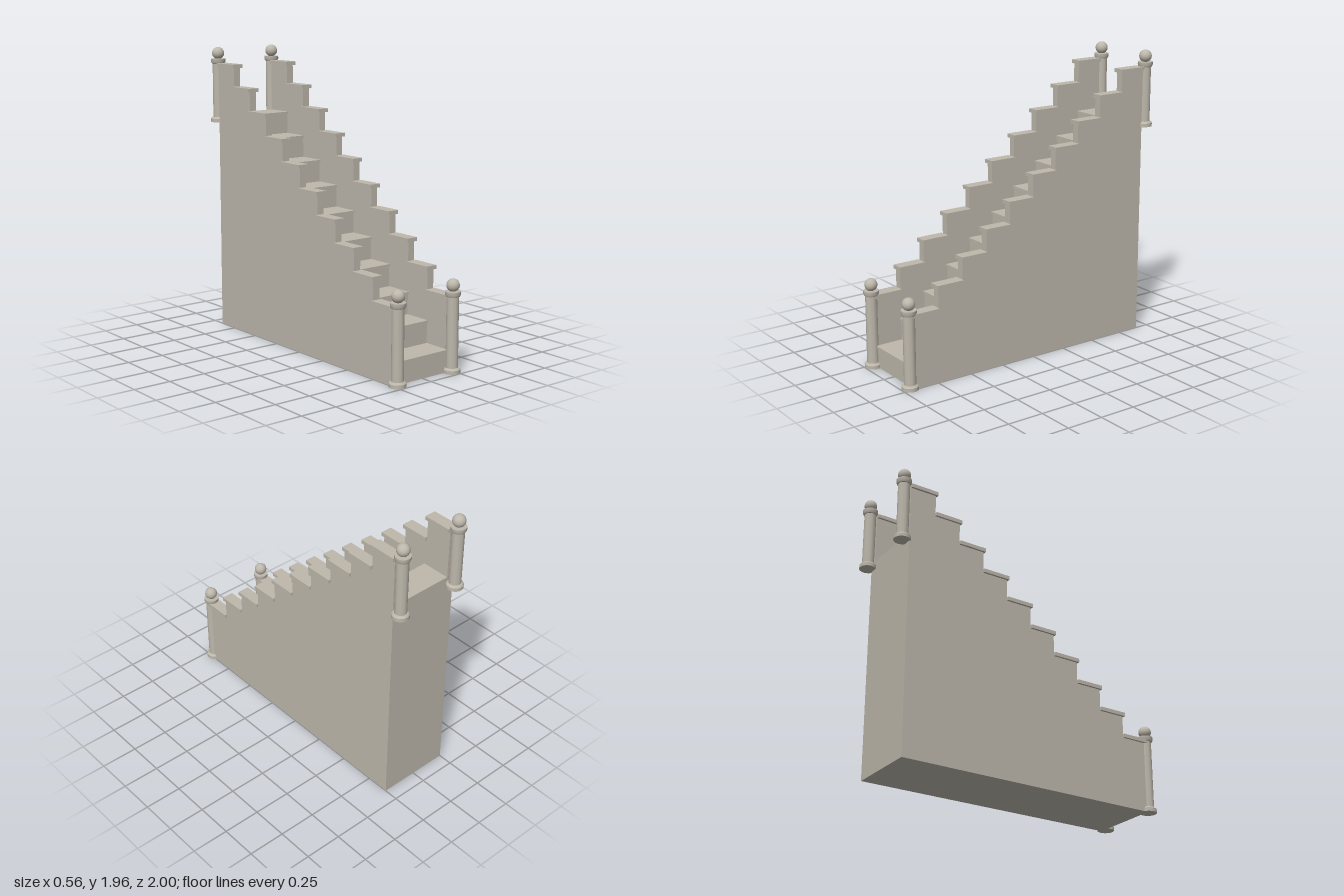
import * as THREE from 'three';
import { toCreasedNormals } from 'three/addons/utils/BufferGeometryUtils.js';

const STEPS = 10, RISE = 0.15, RUN = 0.183;
const FRONT = 0.925, BACK = -0.905, NOSE = 0.01;

export function createModel() {
  const stone = new THREE.MeshStandardMaterial({ color: 0xbdb7ab });
  stone.name = 'stone';
  const model = new THREE.Group();
  model.name = 'staircase';

  function add(name, geometry, x, y, z, parent = model) {
    const mesh = new THREE.Mesh(geometry, stone);
    mesh.name = name;
    mesh.position.set(x, y, z);
    parent.add(mesh);
    return mesh;
  }

  // Stepped side profile in (z, y), extruded across x and centred
  function steppedSlab(firstTop, width) {
    const shape = new THREE.Shape();
    shape.moveTo(BACK, 0);
    shape.lineTo(FRONT, 0);
    for (let i = 0; i < STEPS; i++) {
      const y = firstTop + i * RISE;
      shape.lineTo(FRONT - i * RUN, y);
      shape.lineTo(i === STEPS - 1 ? BACK : FRONT - (i + 1) * RUN, y);
    }
    shape.closePath();
    const geometry = new THREE.ExtrudeGeometry(shape, { depth: width, bevelEnabled: false });
    geometry.translate(0, 0, -width / 2);
    geometry.rotateY(-Math.PI / 2);
    return geometry;
  }

  // Solid flight and the two side walls
  const treadT = 0.015, capT = 0.025;
  add('flight', steppedSlab(RISE - treadT, 0.4), 0, 0, 0);
  for (const s of [1, -1]) {
    add(s > 0 ? 'leftWall' : 'rightWall', steppedSlab(0.5 - capT, 0.05), s * 0.225, 0, 0);
  }

  // Treads and wall caps with a small overhang at the front
  const depth = RUN + NOSE;
  const treadGeo = new THREE.BoxGeometry(0.4, treadT, depth);
  const capGeo = new THREE.BoxGeometry(0.08, capT, depth);
  for (let i = 0; i < STEPS; i++) {
    const z = FRONT + NOSE - i * RUN - depth / 2;
    add('tread', treadGeo, 0, (i + 1) * RISE - treadT / 2, z);
    for (const s of [1, -1]) add('wallCap', capGeo, s * 0.225, 0.5 + i * RISE - capT / 2, z);
  }

  // Turned newel post with base, shaft, collar and ball
  function addPost(name, x, y, z, h) {
    const post = new THREE.Group();
    post.name = name;
    post.position.set(x, y, z);
    const profile = [
      [0, 0], [0.055, 0], [0.055, 0.024], [0.047, 0.033], [0.039, 0.035],
      [0.039, h - 0.035], [0.044, h - 0.033], [0.05, h - 0.02], [0.05, h], [0, h],
    ].map(([r, py]) => new THREE.Vector2(r, py));
    add('postShaft', toCreasedNormals(new THREE.LatheGeometry(profile, 24), 0.5), 0, 0, 0, post);
    add('postBall', new THREE.SphereGeometry(0.042, 24, 16), 0, h + 0.038, 0, post);
    model.add(post);
  }
  for (const s of [1, -1]) {
    const side = s > 0 ? 'Left' : 'Right';
    addPost('front' + side + 'Post', s * 0.227, 0, 0.945, 0.525);
    addPost('back' + side + 'Post', s * 0.227, 1.44, -0.945, 0.438);
  }
  return model;
}
